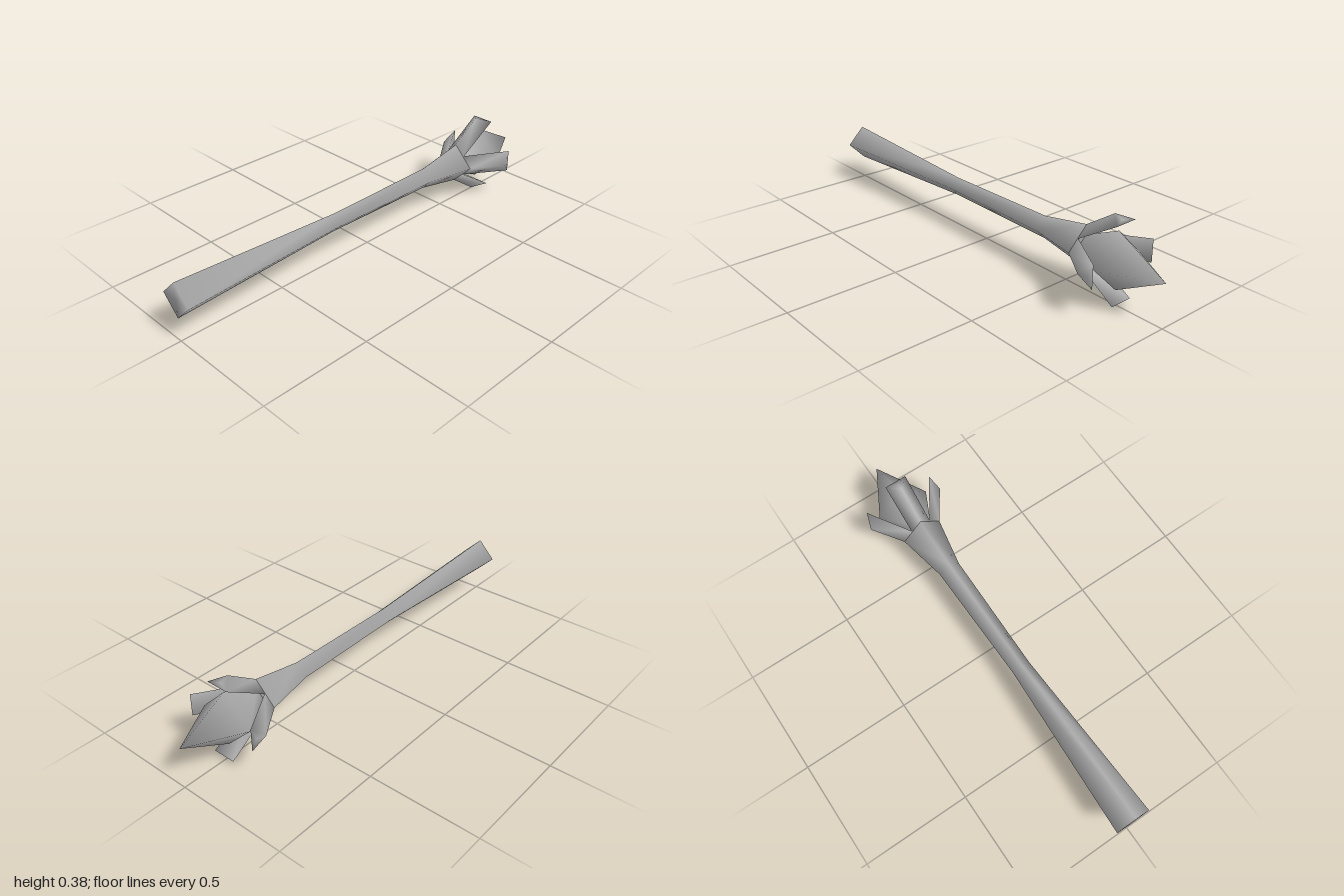
import * as THREE from 'three';

const AXIS_Y = 0.19;

// Smooth closed skin through rings of points; each end is a fan to its centre or a given tip
function loft(rings, tip) {
  const n = rings[0].length, last = rings.length - 1;
  const centre = ring => [0, 1, 2].map(k => ring.reduce((s, p) => s + p[k], 0) / n);
  const points = [...rings.flat(), centre(rings[0]), tip ?? centre(rings[last])];
  const start = points.length - 2, end = points.length - 1;
  const index = [];
  for (let j = 0; j < n; j++) {
    const k = (j + 1) % n;
    for (let i = 0; i < last; i++) {
      const a = i * n + j, b = i * n + k;
      index.push(a, b, a + n, b, b + n, a + n);
    }
    index.push(start, k, j, end, last * n + j, last * n + k);
  }
  const geometry = new THREE.BufferGeometry();
  geometry.setAttribute('position', new THREE.Float32BufferAttribute(points.flat(), 3));
  geometry.setIndex(index);
  geometry.computeVertexNormals();
  return geometry;
}

// Four-cornered ring with its corners on the y and z axes
const diamond = ([x, r]) => [[x, r, 0], [x, 0, r], [x, -r, 0], [x, 0, -r]];

export function createModel() {
  const group = new THREE.Group();
  const grey = new THREE.MeshStandardMaterial({ color: 0xa8a8a8 });
  grey.name = 'grey';

  const add = (name, geometry) => {
    const mesh = new THREE.Mesh(geometry, grey);
    mesh.name = name;
    mesh.position.y = AXIS_Y;
    group.add(mesh);
    return mesh;
  };

  // Shaft: wide butt, slim waist, flared collar
  add('shaft', loft([[-1, 0.082], [-0.2, 0.043], [0.37, 0.051], [0.6, 0.095]].map(diamond)));

  // Pointed bud inside the petals
  add('bud', loft([[0.6, 0.05], [0.765, 0.127]].map(diamond), [1, 0, 0]));

  // Four ridged petals with slanted tips, leaning outward
  const petal = loft([
    [[0.6, 0.095, 0], [0.6, 0.046, 0.049], [0.6, 0.046, -0.049]],
    [[0.74, 0.19, 0], [0.797, 0.169, 0.052], [0.797, 0.169, -0.052]],
  ]);
  ['topPetal', 'frontPetal', 'bottomPetal', 'backPetal'].forEach((name, i) => {
    add(name, petal).rotation.x = i * Math.PI / 2;
  });

  return group;
}
